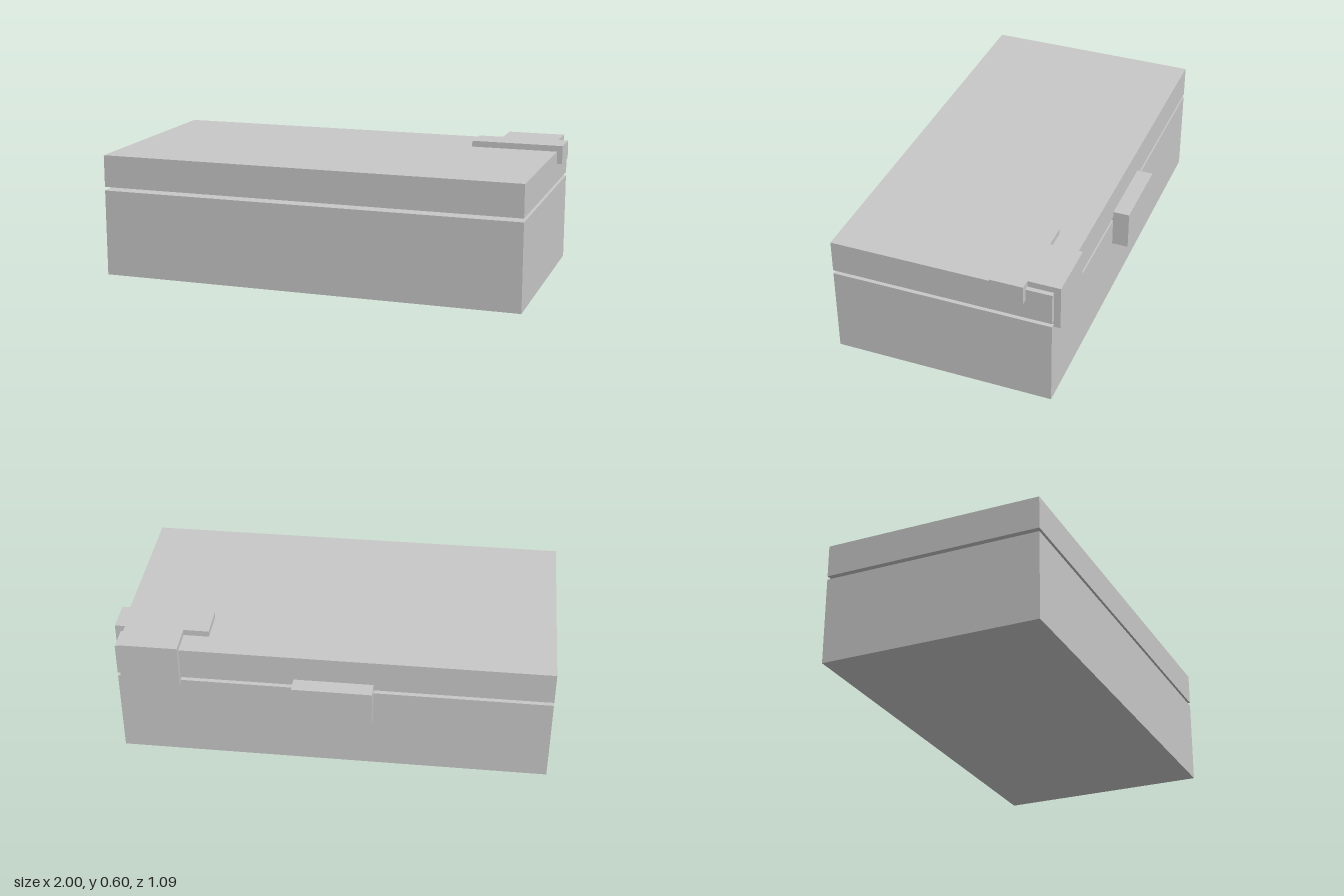
import * as THREE from 'three';

export function createModel() {
  const group = new THREE.Group();
  const grey = new THREE.MeshStandardMaterial({ color: 0xc8c8c8 });
  grey.name = 'light grey';

  // Box between two opposite corners
  function block(name, [x0, y0, z0], [x1, y1, z1]) {
    const mesh = new THREE.Mesh(new THREE.BoxGeometry(x1 - x0, y1 - y0, z1 - z0), grey);
    mesh.position.set((x0 + x1) / 2, (y0 + y1) / 2, (z0 + z1) / 2);
    mesh.name = name;
    group.add(mesh);
  }

  // Case: body and lid with a narrow gap between them
  block('caseBody', [-1, 0, -0.47], [0.975, 0.405, 0.545]);
  block('lid', [-1, 0.422, -0.47], [0.975, 0.572, 0.545]);

  // Hinge across the gap at the back
  block('hinge', [-0.195, 0.274, -0.545], [0.167, 0.452, -0.46]);

  // Corner clip: an arm folded over the back edge and a bar over the left edge
  block('clipArm', [0.684, 0.392, -0.5], [0.953, 0.6, -0.202]);
  block('clipBar', [0.567, 0.514, -0.352], [1, 0.6, -0.202]);

  return group;
}
